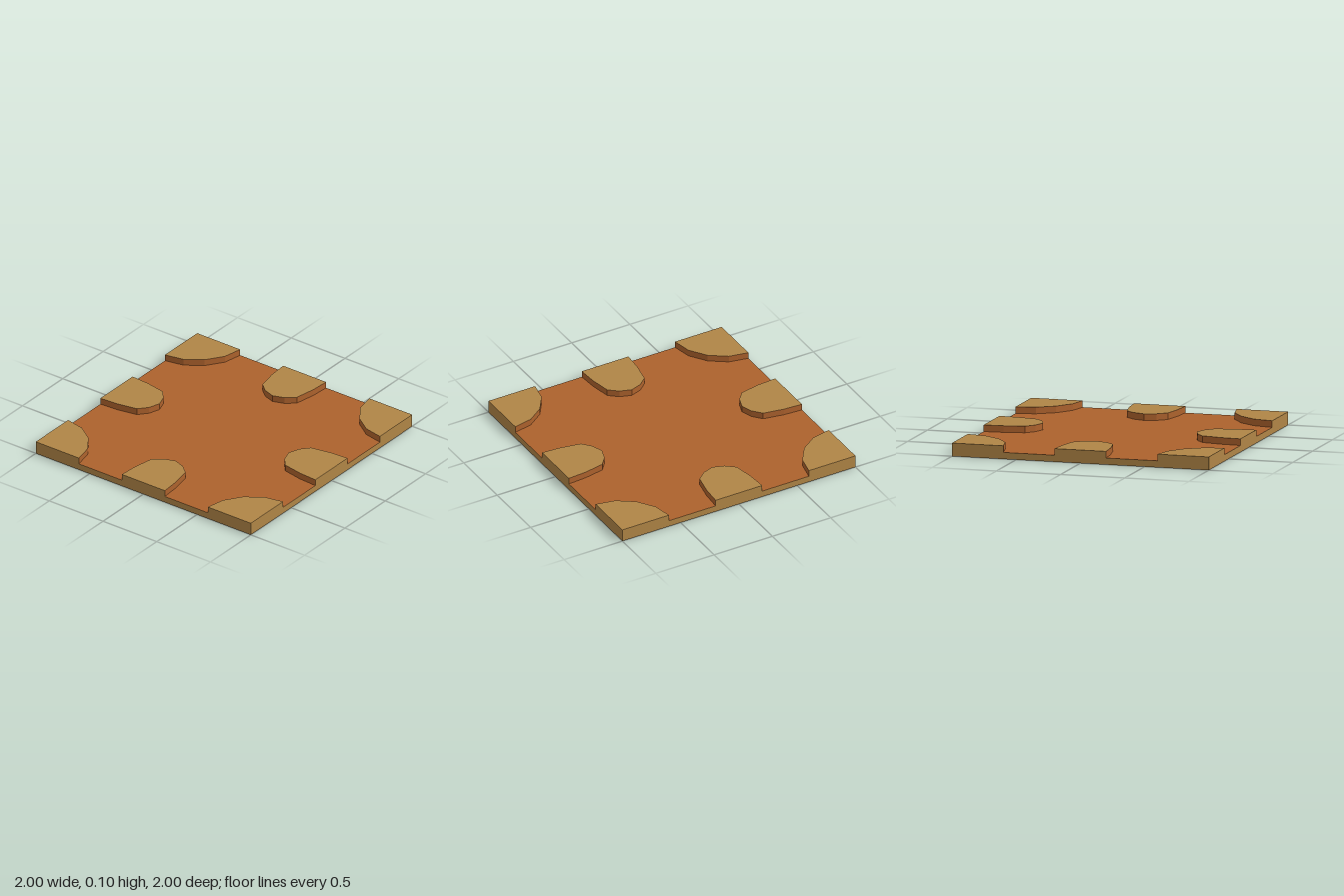
import * as THREE from 'three';

const FLOOR_Y = 0.05, TOP_Y = 0.1;

const mat = (color) => new THREE.MeshStandardMaterial({ color, flatShading: true, side: THREE.DoubleSide });

// Banks along the front edge, as [x, z] points; the other edges repeat them by quarter turns.
const CORNER = [[-1, 0.6], [-0.85, 0.63], [-0.72, 0.72], [-0.63, 0.85], [-0.6, 1]];
const HALF = [[-0.2, 1], [-0.19, 0.85], [-0.16, 0.69], [-0.09, 0.63]];
const MIDDLE = [...HALF, [0, 0.6], ...HALF.map(([x, z]) => [-x, z]).reverse()];

const quarterTurn = ([x, z]) => [z, -x];

// Horizontal sheet from an [x, z] outline
function sheet(points, y) {
  const shape = new THREE.Shape(points.map(([x, z]) => new THREE.Vector2(x, -z)));
  return new THREE.ShapeGeometry(shape).rotateX(-Math.PI / 2).translate(0, y, 0);
}

// Vertical strip along an [x, z] curve, from the floor to the bank top
function bankWall(points) {
  const pos = [];
  for (let i = 0; i < points.length - 1; i++) {
    const [ax, az] = points[i], [bx, bz] = points[i + 1];
    pos.push(ax, FLOOR_Y, az, ax, TOP_Y, az, bx, TOP_Y, bz);
    pos.push(ax, FLOOR_Y, az, bx, TOP_Y, bz, bx, FLOOR_Y, bz);
  }
  const geo = new THREE.BufferGeometry();
  geo.setAttribute('position', new THREE.Float32BufferAttribute(pos, 3));
  geo.computeVertexNormals();
  return geo;
}

// Outer rim: low at the floor openings, high at the banks
function rimGeometry() {
  const shape = new THREE.Shape();
  shape.moveTo(-1, 0);
  shape.lineTo(1, 0);
  for (const [right, left] of [[1, 0.6], [0.2, -0.2], [-0.6, -1]]) {
    if (right < 1) shape.lineTo(right, FLOOR_Y);
    shape.lineTo(right, TOP_Y);
    shape.lineTo(left, TOP_Y);
    if (left > -1) shape.lineTo(left, FLOOR_Y);
  }
  return new THREE.ShapeGeometry(shape).translate(0, 0, 1);
}

export function createModel() {
  const model = new THREE.Group();
  model.name = 'floorTile';
  const tan = mat(0xb08546), orange = mat(0xad622d);
  const add = (parent, name, geo, material) => {
    const mesh = new THREE.Mesh(geo, material);
    mesh.name = name;
    parent.add(mesh);
  };

  // Four identical sides, each with a corner bank, a middle bank and a rim
  const rim = rimGeometry();
  const corner = [[-1, 1], ...CORNER];
  for (let k = 0; k < 4; k++) {
    const side = new THREE.Group();
    side.name = 'side' + (k + 1);
    side.rotation.y = k * Math.PI / 2;
    add(side, 'rim', rim, tan);
    add(side, 'cornerBankTop', sheet(corner, TOP_Y), tan);
    add(side, 'cornerBankWall', bankWall(CORNER), orange);
    add(side, 'middleBankTop', sheet(MIDDLE, TOP_Y), tan);
    add(side, 'middleBankWall', bankWall(MIDDLE), orange);
    model.add(side);
  }

  // Sunken floor, bounded by the banks
  const outline = [];
  let edge = [...CORNER, ...MIDDLE];
  for (let k = 0; k < 4; k++) {
    outline.push(...edge);
    edge = edge.map(quarterTurn);
  }
  add(model, 'floor', sheet(outline, FLOOR_Y), orange);

  return model;
}
